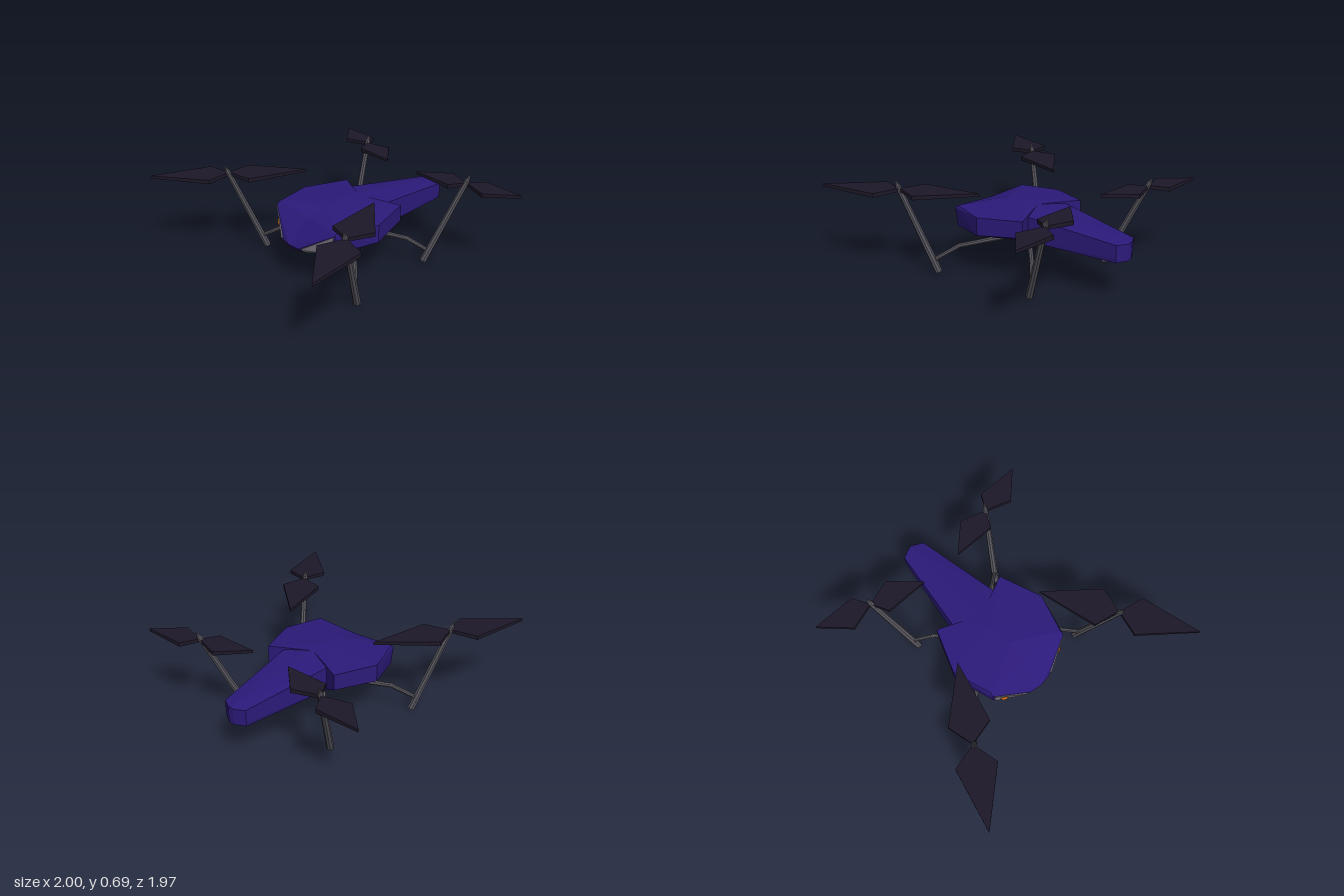
import * as THREE from 'three';
import { ConvexGeometry } from 'three/addons/geometries/ConvexGeometry.js';

const mat = (color) => new THREE.MeshStandardMaterial({ color, flatShading: true });
const shellMat = mat(0x2c1a7a);
const metalMat = mat(0x56545c);
const bladeMat = mat(0x1d1828);
const socketMat = mat(0x77747c);
const eyeMat = new THREE.MeshStandardMaterial({ color: 0xd06a18 });

const vec = (p, s = 1) => new THREE.Vector3(p[0] * s, p[1], p[2]);

function add(parent, name, geometry, material) {
  const mesh = new THREE.Mesh(geometry, material);
  mesh.name = name;
  parent.add(mesh);
  return mesh;
}

const hull = (points, s = 1) => new ConvexGeometry(points.map((p) => vec(p, s)));

// Tapered rod from a to b
function rod(parent, name, a, b, r0, r1, sides = 8) {
  const dir = b.clone().sub(a);
  const mesh = add(parent, name, new THREE.CylinderGeometry(r1, r0, dir.length(), sides), metalMat);
  mesh.position.copy(a).addScaledVector(dir, 0.5);
  mesh.quaternion.setFromUnitVectors(new THREE.Vector3(0, 1, 0), dir.normalize());
}

// One half of the head shell, split on the ridge so each half is convex
const headHalf = [
  [0, 0.51, -0.08], [0, 0.495, 0.1], [0, 0.45, 0.28], [0, 0.29, 0.445], [0, 0.26, 0.43],
  [0.09, 0.288, 0.432], [0.1, 0.26, 0.405],
  [0.345, 0.445, 0.305], [0.335, 0.305, 0.295],
  [0.34, 0.465, 0.28],
  [0.432, 0.467, -0.01], [0.432, 0.335, -0.01],
  [0.31, 0.485, -0.33], [0.31, 0.365, -0.33],
  [0.2, 0.492, -0.28], [0.2, 0.3, -0.28],
  [0, 0.5, -0.19], [0, 0.265, -0.19], [0, 0.262, 0.1],
];

// Tail boom: [z, half width, centre top, edge top, bottom, bottom half width]
const tailSections = [
  [-0.08, 0.232, 0.508, 0.482, 0.268, 0.12],
  [-0.3, 0.197, 0.494, 0.476, 0.274, 0.13],
  [-0.95, 0.095, 0.437, 0.425, 0.3, 0.09],
  [-0.99, 0.02, 0.432, 0.425, 0.305, 0.02],
];

function tailPoints() {
  const points = [];
  for (const [z, w, top, edge, bottom, bw] of tailSections) {
    points.push([0, top, z]);
    for (const s of [-1, 1]) {
      points.push([s * w, edge, z], [s * w, bottom + 0.03, z], [s * bw, bottom, z]);
    }
  }
  return points;
}

// Eye socket corners on the face
const socketCorners = [
  [0.335, 0.437, 0.308], [0.115, 0.295, 0.424], [0.115, 0.262, 0.398], [0.322, 0.306, 0.302],
];

// Legs with their arms and rotors; blade outlines are offsets from the hub, tip second
const limbs = [
  {
    name: 'front',
    bottom: [0.548, 0.012, 0.275], top: [0.695, 0.64, 0.503], tip: [0.703, 0.685, 0.522],
    elbow: [0.42, 0.2, 0.19], joint: [0.568, 0.1, 0.305],
    hub: [0.695, 0.49],
    blade: [[0.195, 0.045], [0.305, 0.492], [-0.045, 0.195]],
  },
  {
    name: 'back',
    bottom: [0.408, 0.022, -0.485], top: [0.55, 0.645, -0.747], tip: [0.56, 0.69, -0.768],
    elbow: [0.3, 0.19, -0.41], joint: [0.428, 0.1, -0.52],
    hub: [0.553, -0.744],
    blade: [[0.067, -0.127], [0.392, -0.127], [0.197, 0.062]],
  },
];

// Thin kite-shaped blade tapering towards the tip; k = -1 is the opposite blade
function bladePoints(outline, k) {
  const [a, tip, b] = outline;
  const points = [];
  const put = ([x, z], low, high) => points.push([k * x, low, k * z], [k * x, high, k * z]);
  put(a, -0.018, 0.012);
  put(b, -0.018, 0.012);
  put(tip, -0.008, 0.012);
  put([a[0] * 0.06, a[1] * 0.06], -0.01, 0.014);
  put([b[0] * 0.06, b[1] * 0.06], -0.01, 0.014);
  return points;
}

function buildLimb(limb, s) {
  const group = new THREE.Group();
  group.name = limb.name + (s > 0 ? 'LeftLimb' : 'RightLimb');
  const [bottom, top, tip, elbow, joint] =
    [limb.bottom, limb.top, limb.tip, limb.elbow, limb.joint].map((p) => vec(p, s));
  const root = vec([0.02, 0.275, -0.12], s);

  rod(group, 'leg', bottom, top, 0.027, 0.02);
  rod(group, 'legTip', top, tip, 0.02, 0.003);
  rod(group, 'innerArm', root, elbow, 0.02, 0.017);
  rod(group, 'outerArm', elbow, joint, 0.017, 0.015);
  add(group, 'elbow', new THREE.IcosahedronGeometry(0.018, 1), metalMat).position.copy(elbow);

  const rotor = new THREE.Group();
  rotor.name = 'rotor';
  rotor.position.set(limb.hub[0] * s, 0.617, limb.hub[1]);
  for (const k of [1, -1]) add(rotor, 'blade', hull(bladePoints(limb.blade, k), s), bladeMat);
  group.add(rotor);
  return group;
}

export function createModel() {
  const model = new THREE.Group();
  model.name = 'drone';

  const body = new THREE.Group();
  body.name = 'body';
  model.add(body);
  add(body, 'tail', hull(tailPoints()), shellMat);

  for (const s of [1, -1]) {
    add(body, 'headShell', hull(headHalf, s), shellMat);

    // Socket panel stands just proud of the face
    const slab = socketCorners.flatMap(([x, y, z]) => [
      [x + 0.003, y, z + 0.006], [x - 0.008, y, z - 0.02],
    ]);
    add(body, 'eyeSocket', hull(slab, s), socketMat);
    const eye = add(body, 'eye', new THREE.SphereGeometry(0.038, 20, 14), eyeMat);
    eye.position.set(0.258 * s, 0.337, 0.322);

    for (const limb of limbs) model.add(buildLimb(limb, s));
  }
  return model;
}
